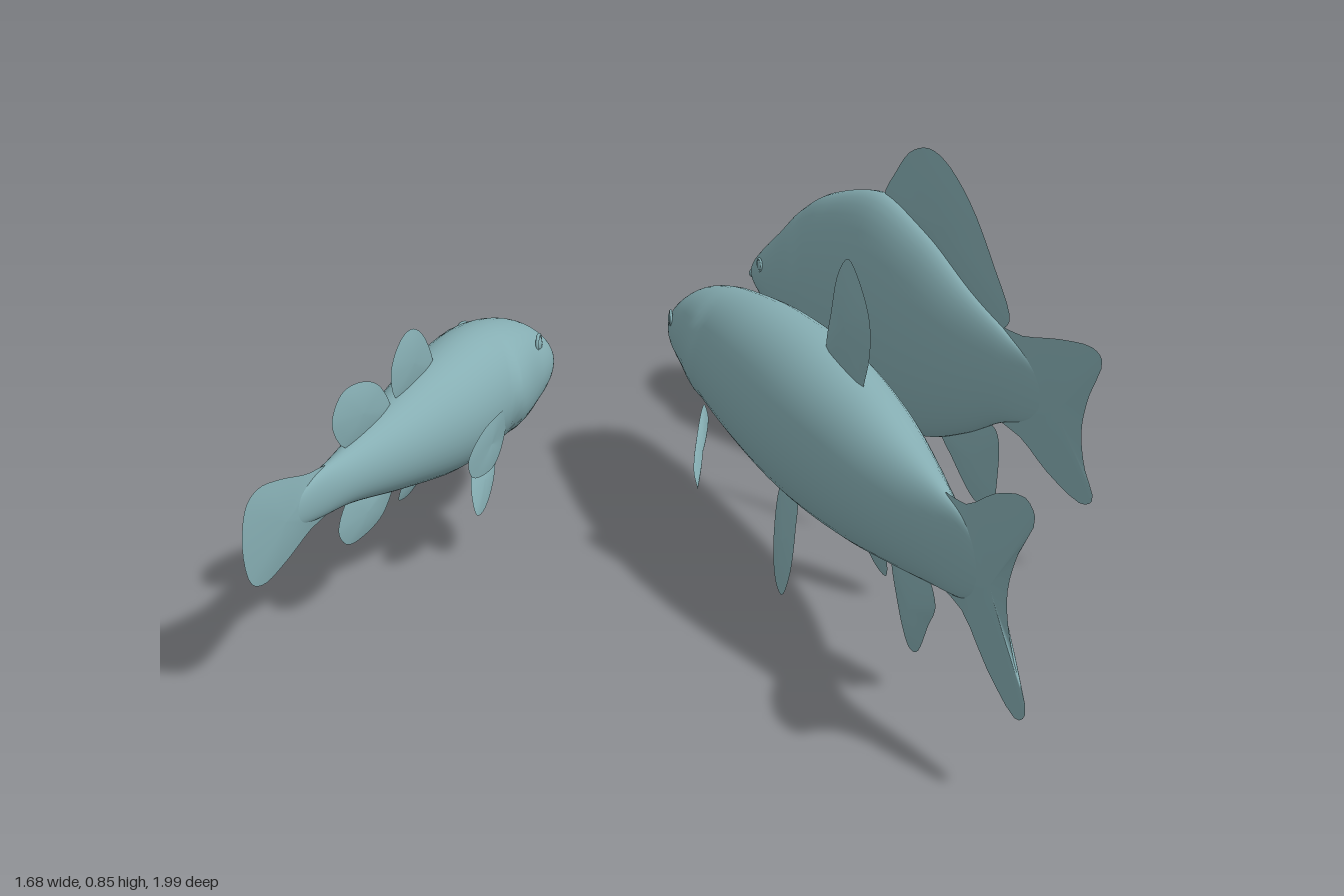
import * as THREE from 'three';

const skin = new THREE.MeshStandardMaterial({ color: 0x86aeb3, roughness: 0.7, side: THREE.DoubleSide });
const V = (x, y, z) => new THREE.Vector3(x, y, z);

function addMesh(parent, name, geometry) {
  const mesh = new THREE.Mesh(geometry, skin);
  mesh.name = name;
  parent.add(mesh);
  return mesh;
}

function indexed(positions, index) {
  const g = new THREE.BufferGeometry();
  g.setAttribute('position', new THREE.Float32BufferAttribute(positions, 3));
  g.setIndex(index);
  g.computeVertexNormals();
  return g;
}

// Lens-shaped blade inside a closed outline: rings shrink to the centre while the two faces swell apart.
function bladeGeometry(outline, thickness) {
  const n = 40, rings = 5;
  const curve = new THREE.CatmullRomCurve3(outline, true, 'centripetal');
  const edge = Array.from({ length: n }, (_, i) => curve.getPoint(i / n));
  const centre = V(0, 0, 0), normal = V(0, 0, 0);
  edge.forEach(p => centre.addScaledVector(p, 1 / n));
  edge.forEach((p, i) => normal.add(p.clone().sub(centre).cross(edge[(i + 1) % n].clone().sub(centre))));
  normal.normalize();
  const pos = [], index = [];
  for (const side of [1, -1]) {
    const start = pos.length / 3;
    for (let r = 0; r <= rings; r++) {
      const k = 1 - r / rings;
      for (const p of edge) {
        const q = centre.clone().lerp(p, k).addScaledVector(normal, side * thickness * (1 - k * k));
        pos.push(q.x, q.y, q.z);
      }
    }
    for (let r = 0; r < rings; r++) for (let i = 0; i < n; i++) {
      const a = start + r * n + i, b = start + r * n + (i + 1) % n;
      if (side > 0) index.push(a, b, a + n, b, b + n, a + n);
      else index.push(a, a + n, b, b, a + n, b + n);
    }
  }
  return indexed(pos, index);
}

// A fish lies along local z: snout at 0, tail at the far end; stations are [z, top, bottom, half width].
function makeFish(spec) {
  const fish = new THREE.Group();
  fish.name = spec.name;
  const smooth = pts => new THREE.CatmullRomCurve3(pts, false, 'catmullrom', 0.5);
  const spine = smooth(spec.stations.map(s => V(s[1], s[2], s[0])));
  const girth = smooth(spec.stations.map(s => V(s[3], 0, s[0])));
  const section = t => {
    const p = spine.getPoint(t), w = Math.max(girth.getPoint(t).x, 0.002);
    return { z: p.z, mid: (p.x + p.y) / 2, h: (p.x - p.y) / 2, w };
  };
  const sectionAt = z => {
    let lo = 0, hi = 1;
    for (let i = 0; i < 25; i++) {
      const m = (lo + hi) / 2;
      if (section(m).z < z) lo = m; else hi = m;
    }
    return section(lo);
  };

  // Body, with a slight step behind the curved edge of the gill covers
  const rows = 100, n = 40, pos = [], index = [];
  for (let r = 0; r <= rows; r++) {
    const s = section(r / rows);
    for (let i = 0; i < n; i++) {
      const a = i / n * Math.PI * 2, c = Math.cos(a), d = Math.sin(a);
      const edge = spec.gill - 0.09 * d * d;
      const flap = 1 + spec.flap * Math.abs(c)
        * THREE.MathUtils.smoothstep(s.z, edge - 0.14, edge - 0.02)
        * (1 - THREE.MathUtils.smoothstep(s.z, edge - 0.005, edge + 0.015));
      pos.push(c * s.w * flap, s.mid + d * s.h, s.z);
    }
  }
  for (let r = 0; r < rows; r++) for (let i = 0; i < n; i++) {
    const a = r * n + i, b = r * n + (i + 1) % n;
    index.push(a, a + n, b, b, a + n, b + n);
  }
  // closed snout
  const first = section(0), tip = pos.length / 3;
  pos.push(0, first.mid, first.z - 0.006);
  for (let i = 0; i < n; i++) index.push(tip, i, (i + 1) % n);
  addMesh(fish, 'body', indexed(pos, index));

  // Lips
  const mouth = sectionAt(0.015);
  const lips = addMesh(fish, 'lips', new THREE.TorusGeometry(1, 0.2, 10, 32));
  lips.scale.set(mouth.w * 0.85, mouth.h * 0.4, 0.03);
  lips.position.set(0, mouth.mid - mouth.h * 0.2, 0.008);

  // Eyes: a raised rim with a domed pupil on each side
  const [ez, ey, er] = spec.eye, es = sectionAt(ez);
  const ex = es.w * Math.sqrt(Math.max(0, 1 - ((ey - es.mid) / es.h) ** 2));
  for (const side of [1, -1]) {
    const eye = new THREE.Group();
    eye.name = side > 0 ? 'leftEye' : 'rightEye';
    eye.position.set(side * ex, ey, ez);
    eye.rotation.y = side * (Math.PI / 2 + 0.3);
    addMesh(eye, 'eyeRim', new THREE.TorusGeometry(er, er * 0.2, 8, 24));
    addMesh(eye, 'eyeball', new THREE.SphereGeometry(er * 0.85, 16, 12)).scale.z = 0.45;
    fish.add(eye);
  }

  // Fins on the middle line: outline points are [z, y]
  for (const [name, thickness, pts] of spec.midFins)
    addMesh(fish, name, bladeGeometry(pts.map(p => V(0, p[1], p[0])), thickness));

  // Paired fins: outline points are [z, y, x], mirrored to both sides
  for (const [name, pts] of spec.pairedFins) for (const side of [1, -1])
    addMesh(fish, (side > 0 ? 'left' : 'right') + name,
      bladeGeometry(pts.map(p => V(side * p[2], p[1], p[0])), 0.007));

  fish.position.set(spec.at[0], 0, spec.at[1]);
  fish.rotation.y = spec.turn;
  return fish;
}

const longFish = {
  name: 'longFish', at: [-0.145, -0.505], turn: 0.536, gill: 0.3, flap: 0.06,
  stations: [[0, 0.425, 0.365, 0.045], [0.02, 0.455, 0.34, 0.078], [0.06, 0.487, 0.315, 0.1], [0.12, 0.517, 0.29, 0.113],
    [0.26, 0.555, 0.255, 0.126], [0.48, 0.592, 0.235, 0.143], [0.75, 0.606, 0.228, 0.148], [1.0, 0.582, 0.245, 0.125],
    [1.2, 0.543, 0.275, 0.087], [1.36, 0.515, 0.303, 0.044], [1.46, 0.495, 0.325, 0.019], [1.57, 0.44, 0.38, 0.003]],
  eye: [0.085, 0.435, 0.018],
  midFins: [
    ['tailFin', 0.009, [[1.34, 0.5], [1.46, 0.53], [1.58, 0.605], [1.7, 0.645], [1.735, 0.62], [1.67, 0.51], [1.64, 0.41],
      [1.67, 0.31], [1.735, 0.215], [1.7, 0.18], [1.58, 0.22], [1.46, 0.295], [1.34, 0.32]]],
    ['dorsalFin', 0.017, [[0.78, 0.58], [0.8, 0.7], [0.83, 0.79], [0.88, 0.84], [0.92, 0.825], [0.99, 0.75], [1.0, 0.68],
      [0.98, 0.61], [0.95, 0.56]]],
    ['analFin', 0.012, [[1.13, 0.28], [1.16, 0.18], [1.22, 0.1], [1.26, 0.105], [1.31, 0.19], [1.34, 0.25], [1.3, 0.3]]]],
  pairedFins: [
    ['PectoralFin', [[0.33, 0.31, 0.11], [0.46, 0.285, 0.18], [0.57, 0.255, 0.228], [0.59, 0.23, 0.228],
      [0.52, 0.2, 0.2], [0.4, 0.225, 0.145], [0.33, 0.27, 0.1]]],
    ['PelvicFin', [[0.7, 0.26, 0.07], [0.73, 0.15, 0.1], [0.79, 0.07, 0.12], [0.84, 0.06, 0.125], [0.86, 0.12, 0.115],
      [0.83, 0.21, 0.09], [0.79, 0.26, 0.07]]]],
};

const deepFish = {
  name: 'deepFish', at: [-0.05, -0.972], turn: 0.739, gill: 0.26, flap: 0.07,
  stations: [[0, 0.39, 0.34, 0.035], [0.02, 0.415, 0.315, 0.055], [0.06, 0.455, 0.285, 0.069], [0.12, 0.51, 0.243, 0.078],
    [0.2, 0.585, 0.203, 0.084], [0.32, 0.655, 0.165, 0.09], [0.515, 0.705, 0.13, 0.094], [0.7, 0.652, 0.14, 0.083],
    [0.86, 0.565, 0.205, 0.057], [0.98, 0.51, 0.275, 0.033], [1.07, 0.47, 0.31, 0.014], [1.16, 0.42, 0.35, 0.003]],
  eye: [0.08, 0.405, 0.016],
  midFins: [
    ['tailFin', 0.007, [[0.94, 0.5], [1.05, 0.515], [1.18, 0.55], [1.29, 0.565], [1.32, 0.545], [1.28, 0.44], [1.265, 0.36],
      [1.28, 0.28], [1.315, 0.21], [1.28, 0.185], [1.16, 0.215], [1.06, 0.265], [0.94, 0.3]]],
    ['dorsalFin', 0.011, [[0.515, 0.695], [0.555, 0.77], [0.61, 0.835], [0.68, 0.862], [0.75, 0.845], [0.845, 0.77],
      [0.935, 0.65], [1.0, 0.54], [0.975, 0.51], [0.84, 0.54], [0.68, 0.62]]],
    ['analFin', 0.009, [[0.76, 0.18], [0.81, 0.12], [0.9, 0.045], [0.96, 0.045], [0.98, 0.13], [0.97, 0.25], [0.9, 0.26]]]],
  pairedFins: [
    ['PectoralFin', [[0.28, 0.245, 0.078], [0.34, 0.265, 0.098], [0.41, 0.245, 0.112], [0.45, 0.2, 0.112],
      [0.41, 0.175, 0.1], [0.34, 0.185, 0.082]]],
    ['PelvicFin', [[0.48, 0.16, 0.03], [0.51, 0.08, 0.038], [0.58, 0.01, 0.047], [0.62, 0.015, 0.049], [0.63, 0.07, 0.045],
      [0.59, 0.14, 0.03]]]],
};

const smallFish = {
  name: 'smallFish', at: [-0.54, -0.327], turn: -0.249, gill: 0.28, flap: 0.09,
  stations: [[0, 0.395, 0.33, 0.05], [0.02, 0.422, 0.295, 0.088], [0.06, 0.452, 0.265, 0.112], [0.12, 0.476, 0.24, 0.125],
    [0.2, 0.493, 0.222, 0.13], [0.3, 0.498, 0.212, 0.128], [0.45, 0.483, 0.215, 0.116], [0.64, 0.45, 0.255, 0.08],
    [0.82, 0.425, 0.3, 0.042], [0.94, 0.415, 0.315, 0.02], [1.06, 0.39, 0.34, 0.003]],
  eye: [0.11, 0.425, 0.021],
  midFins: [
    ['tailFin', 0.009, [[0.88, 0.41], [0.97, 0.43], [1.07, 0.46], [1.15, 0.472], [1.195, 0.45], [1.217, 0.365], [1.195, 0.28],
      [1.15, 0.258], [1.07, 0.27], [0.97, 0.3], [0.88, 0.32]]],
    ['firstDorsalFin', 0.01, [[0.43, 0.46], [0.46, 0.55], [0.51, 0.59], [0.56, 0.585], [0.61, 0.53], [0.6, 0.46], [0.52, 0.44]]],
    ['secondDorsalFin', 0.01, [[0.62, 0.43], [0.66, 0.51], [0.74, 0.55], [0.82, 0.55], [0.86, 0.5], [0.82, 0.43], [0.72, 0.41]]],
    ['analFin', 0.009, [[0.62, 0.28], [0.67, 0.215], [0.76, 0.195], [0.83, 0.205], [0.86, 0.25], [0.81, 0.31], [0.71, 0.3]]]],
  pairedFins: [
    ['PectoralFin', [[0.3, 0.33, 0.115], [0.4, 0.36, 0.14], [0.5, 0.355, 0.153], [0.57, 0.32, 0.16], [0.55, 0.275, 0.157],
      [0.43, 0.25, 0.145], [0.32, 0.275, 0.115]]],
    ['PelvicFin', [[0.27, 0.24, 0.06], [0.32, 0.17, 0.085], [0.4, 0.12, 0.1], [0.44, 0.125, 0.102], [0.43, 0.18, 0.085],
      [0.36, 0.245, 0.06]]]],
};

export function createModel() {
  const group = new THREE.Group();
  group.name = 'fishGroup';
  for (const spec of [longFish, deepFish, smallFish]) group.add(makeFish(spec));
  return group;
}
